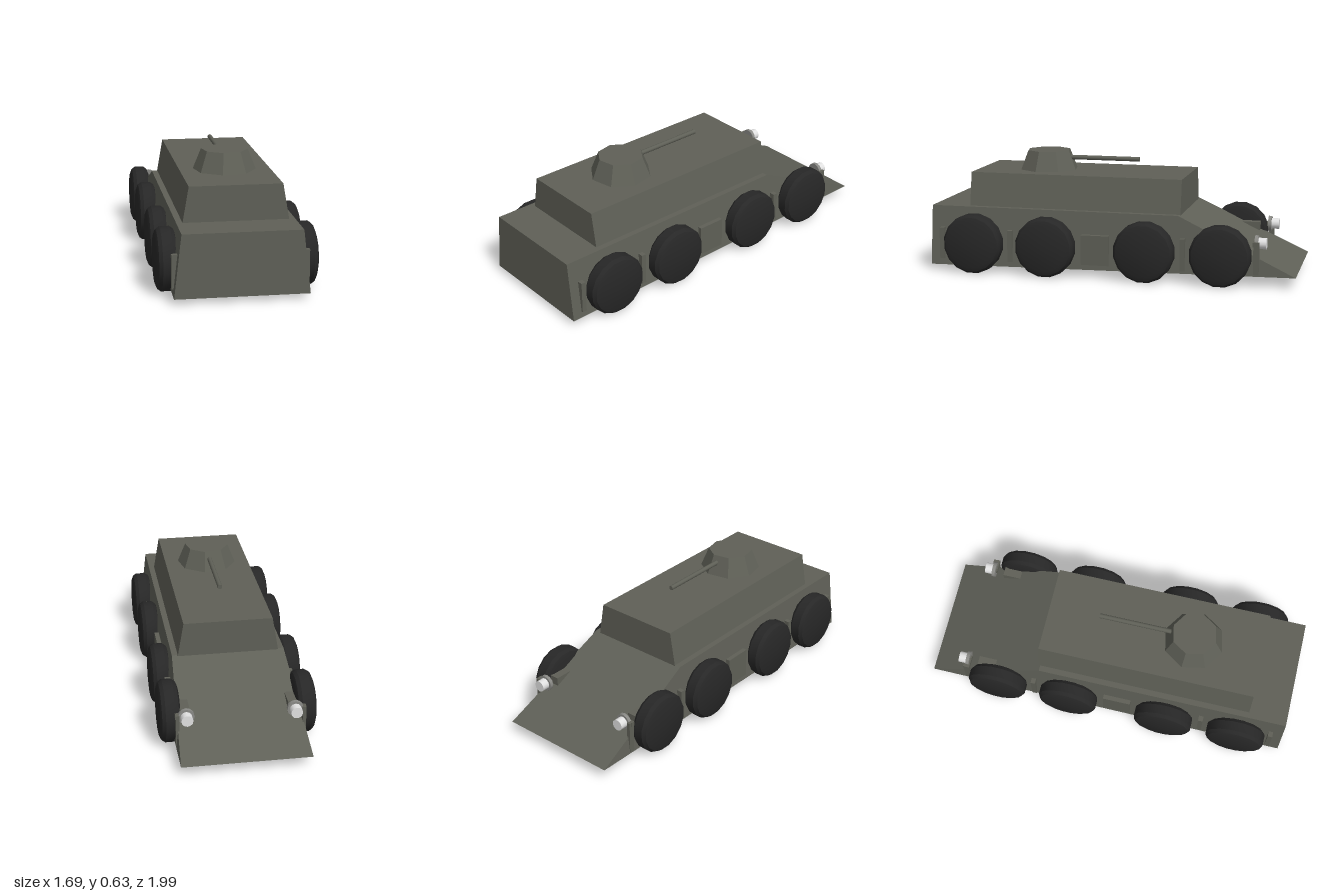
import * as THREE from 'three';
import { toCreasedNormals } from 'three/addons/utils/BufferGeometryUtils.js';

const mat = (name, color, flat = false) => {
  const m = new THREE.MeshStandardMaterial({ color, flatShading: flat });
  m.name = name;
  return m;
};

// Side profile [z, y] extruded across x; half width runs linearly from bottom to top
function taperedPrism(points, bottomHalf, topHalf) {
  const ys = points.map(p => p[1]);
  const y0 = Math.min(...ys), y1 = Math.max(...ys);
  const shape = new THREE.Shape(points.map(p => new THREE.Vector2(p[0], p[1])));
  const g = new THREE.ExtrudeGeometry(shape, { depth: 2, bevelEnabled: false });
  g.rotateY(-Math.PI / 2).translate(1, 0, 0);
  const pos = g.attributes.position;
  for (let i = 0; i < pos.count; i++) {
    const t = (pos.getY(i) - y0) / (y1 - y0);
    pos.setX(i, pos.getX(i) * THREE.MathUtils.lerp(bottomHalf, topHalf, t));
  }
  g.computeVertexNormals();
  return g;
}

export function createModel() {
  const group = new THREE.Group();
  const vehicle = new THREE.Group();
  vehicle.name = 'vehicle';
  vehicle.rotation.y = -0.625; // nose (-z) points diagonally
  group.add(vehicle);

  const armour = mat('armour grey', 0x5f6057);
  const rubber = mat('rubber black', 0x272727);
  const lampGlass = mat('lamp white', 0xe2e2e2);
  const lampMetal = mat('lamp grey', 0x8a8a86);

  const add = (name, geometry, material, x = 0, y = 0, z = 0) => {
    const m = new THREE.Mesh(geometry, material);
    m.name = name;
    m.position.set(x, y, z);
    vehicle.add(m);
    return m;
  };

  // Hull with long sloping nose, and raised upper deck
  add('hull', taperedPrism([[0.99, 0.03], [0.99, 0.35], [-0.37, 0.35], [-0.99, 0.06]].reverse(), 0.332, 0.295), armour);
  add('upperDeck', taperedPrism([[0.785, 0.345], [0.785, 0.53], [-0.377, 0.53], [-0.377, 0.345]].reverse(), 0.265, 0.233), armour);

  // Eight-sided turret and gun
  const turret = add('turret',
    toCreasedNormals(new THREE.CylinderGeometry(0.12, 0.163, 0.107, 8), 0.3), armour, 0, 0.5815, 0.414);
  turret.rotation.y = 0.59;
  add('gunBarrel', new THREE.CylinderGeometry(0.0125, 0.0125, 0.45, 10).rotateX(Math.PI / 2), armour, 0, 0.596, 0.128);

  // Wheels: rounded tyres with a flat, slightly raised disc
  const profile = [[0, -0.052], [0.125, -0.052], [0.148, -0.043], [0.161, -0.025],
    [0.161, 0.025], [0.148, 0.043], [0.125, 0.052], [0, 0.056]]
    .map(p => new THREE.Vector2(p[0], p[1]));
  const wheelGeo = toCreasedNormals(
    new THREE.LatheGeometry(profile, 16).rotateY(Math.PI / 16).rotateZ(-Math.PI / 2), 0.5);

  for (const s of [1, -1]) {
    for (const z of [0.74, 0.337, -0.2, -0.602]) {
      const w = add('wheel', wheelGeo, rubber, s * 0.347, 0.16, z);
      if (s < 0) w.rotation.y = Math.PI;
    }

    // Brackets between the wheels and the central side panel
    for (const z of [0.925, 0.54, -0.4]) {
      add('sideBracket', new THREE.BoxGeometry(0.035, 0.17, 0.025), armour, s * 0.32, 0.15, z);
    }
    add('sidePanel', new THREE.BoxGeometry(0.03, 0.16, 0.15), armour, s * 0.318, 0.15, 0.07);

    // Housing behind the front wheel
    add('frontWheelHousing', new THREE.BoxGeometry(0.05, 0.13, 0.2), armour, s * 0.275, 0.165, -0.625);

    // Headlamp on its post
    add('lampPost', new THREE.BoxGeometry(0.018, 0.17, 0.03), armour, s * 0.32, 0.15, -0.785);
    add('lampArm', new THREE.BoxGeometry(0.07, 0.025, 0.02), armour, s * 0.295, 0.222, -0.775);
    add('lampHousing', new THREE.CylinderGeometry(0.042, 0.042, 0.018, 12).rotateX(Math.PI / 2), lampMetal, s * 0.275, 0.222, -0.782);
    add('lamp', new THREE.CylinderGeometry(0.03, 0.03, 0.045, 12).rotateX(Math.PI / 2), lampGlass, s * 0.275, 0.222, -0.81);
  }
  return group;
}
